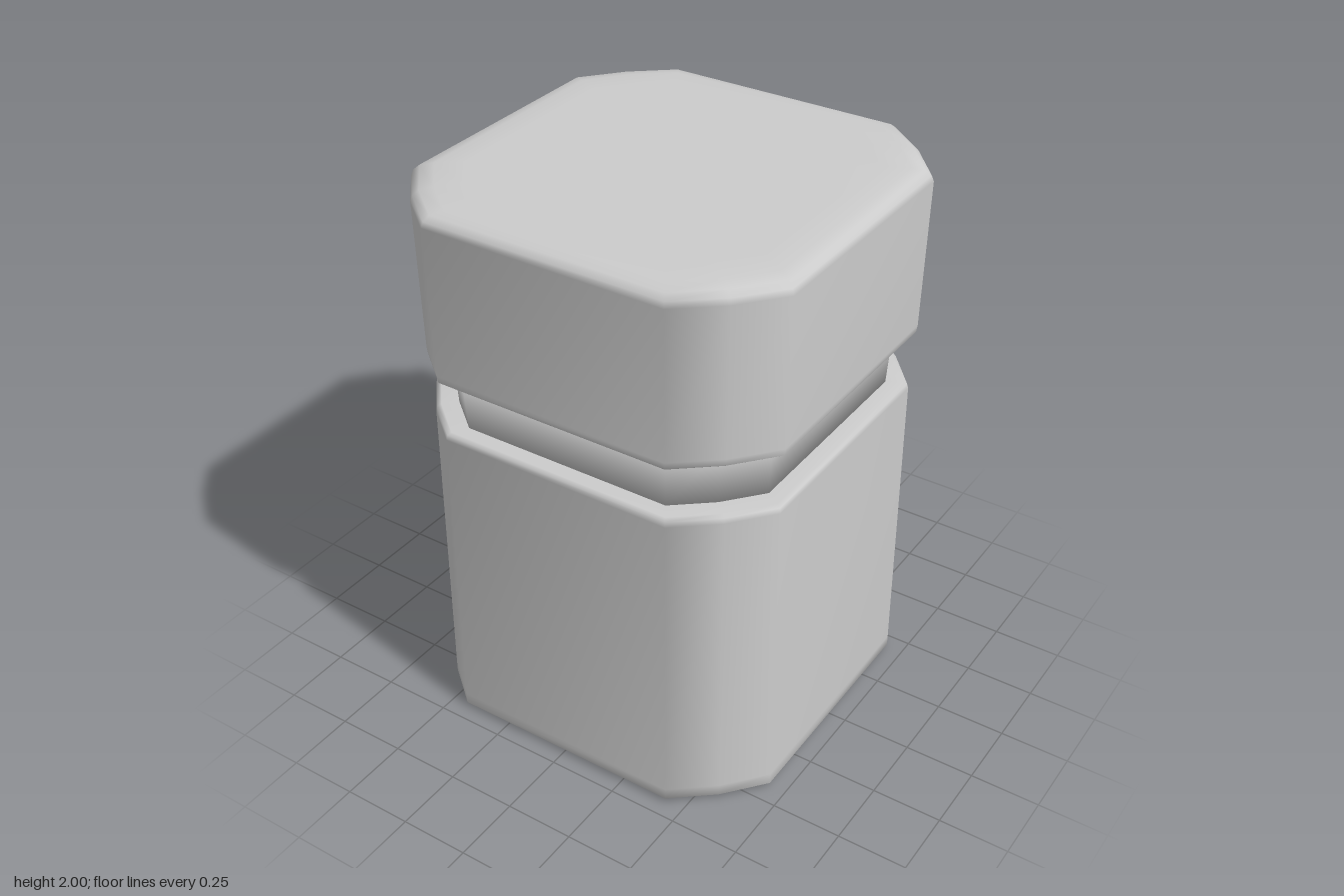
import * as THREE from 'three';

const material = new THREE.MeshStandardMaterial({ color: 0xcccccc });

// One quarter of a square outline with a two-step rounded corner (unit half width)
const CORNER = [[1, 0.625], [0.83, 0.83], [0.625, 1]];

function outline(half) {
  const points = [];
  for (let q = 0; q < 4; q++) {
    for (const [a, b] of CORNER) {
      let x = a * half, z = b * half;
      for (let k = 0; k < q; k++) [x, z] = [-z, x];
      points.push([x, z]);
    }
  }
  return points;
}

// Skin a stack of [half width, height] sections, bottom to top, and cap both ends
function stack(name, sections) {
  const n = CORNER.length * 4, positions = [], index = [];
  for (const [half, y] of sections) {
    for (const [x, z] of outline(half)) positions.push(x, y, z);
  }
  const last = (sections.length - 1) * n;
  const bottom = sections.length * n, top = bottom + 1;
  positions.push(0, sections[0][1], 0, 0, sections.at(-1)[1], 0);
  for (let i = 0; i < n; i++) {
    const j = (i + 1) % n;
    for (let r = 0; r < last; r += n) {
      index.push(r + i, r + n + i, r + j, r + j, r + n + i, r + n + j);
    }
    index.push(bottom, i, j, top, last + j, last + i);
  }
  const geometry = new THREE.BufferGeometry();
  geometry.setAttribute('position', new THREE.Float32BufferAttribute(positions, 3));
  geometry.setIndex(index);
  geometry.computeVertexNormals();
  const mesh = new THREE.Mesh(geometry, material);
  mesh.name = name;
  return mesh;
}

export function createModel() {
  const group = new THREE.Group();
  group.name = 'squareJar';

  // Body with a softly bevelled base and shoulder
  group.add(stack('body', [
    [0.62, 0], [0.67, 0.005], [0.692, 0.018], [0.692, 0.06],
    [0.686, 1.17], [0.682, 1.188], [0.67, 1.196], [0.6, 1.196],
  ]));

  // Recessed neck, flaring slightly upwards
  group.add(stack('neck', [[0.618, 1.19], [0.63, 1.4]]));

  // Lid with a rounded top edge
  group.add(stack('lid', [
    [0.62, 1.385], [0.685, 1.387], [0.694, 1.395], [0.697, 1.42],
    [0.705, 1.95], [0.698, 1.97], [0.68, 1.987], [0.64, 1.995], [0.56, 2],
  ]));

  return group;
}
